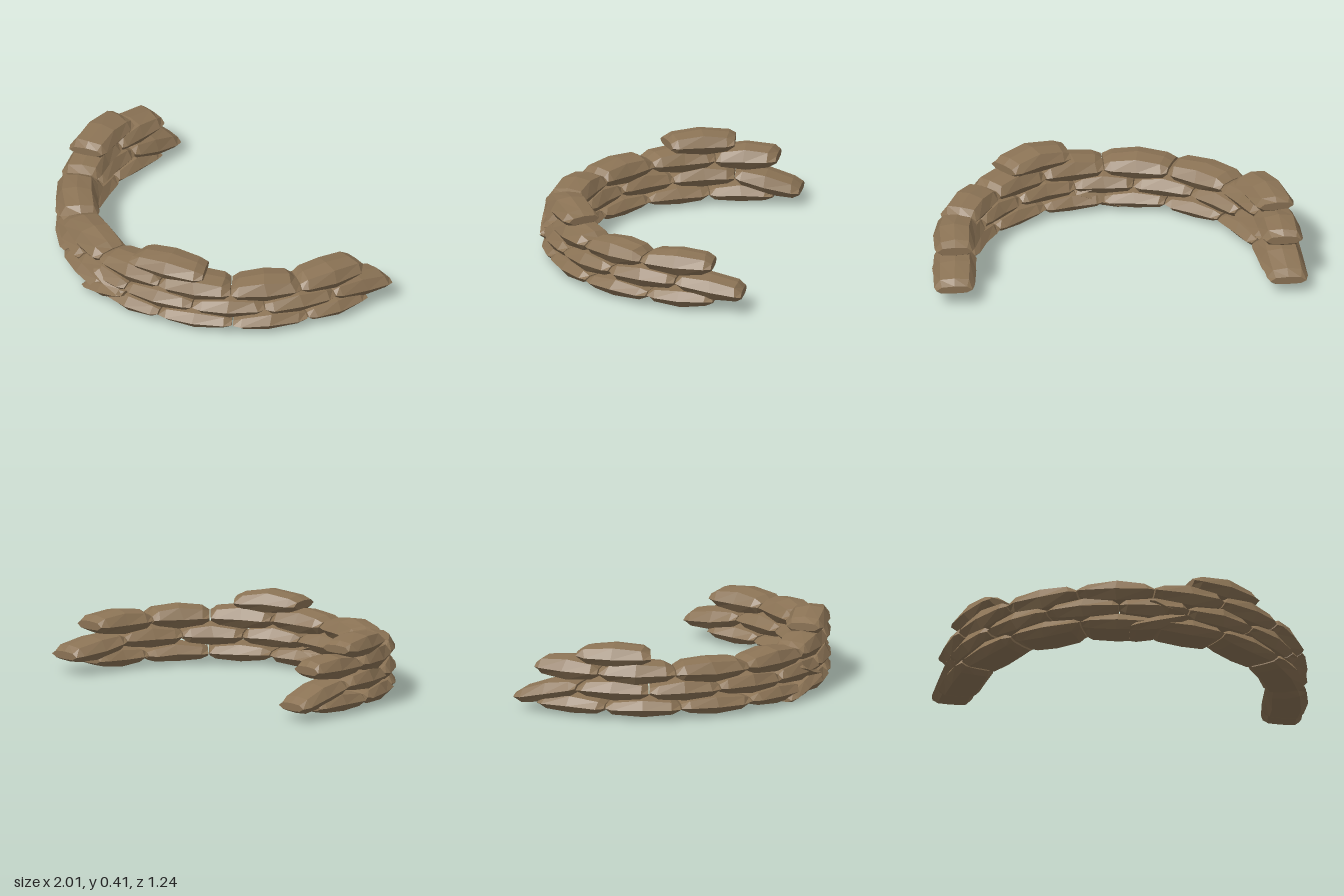
import * as THREE from 'three';

const R = 0.87, ZC = -0.37;            // wall centreline: half circle with straight tails

// Point on the wall: angle from the front, outward offset, height
function wallPoint(phi, out, y) {
  const s = Math.sign(phi), a = Math.min(Math.abs(phi), Math.PI / 2);
  const over = (Math.abs(phi) - a) * R;
  const x = s * ((R + out) * Math.sin(a) + 0.1 * over);
  const z = ZC + (R + out) * Math.cos(a) - over;
  return [x, y, z];
}

// Small seeded generator for the lumpy look
let seed = 7;
const jitter = (amount) => {
  seed = (seed * 16807) % 2147483647;
  return (seed / 2147483647 - 0.5) * 2 * amount;
};

// Bag cross-section (outward, up) and stations along it (position, width, height)
const SECTION = [[0.5, -0.03], [0.35, 0.4], [0, 0.5], [-0.35, 0.4],
  [-0.5, -0.03], [-0.34, -0.4], [0, -0.45], [0.34, -0.4]];
const STATIONS = [[-1, 0.86, 0.38], [-0.78, 0.98, 0.82], [0, 1.02, 1.12], [0.78, 0.98, 0.82], [1, 0.86, 0.38]];

// A filled bag bent along the wall from angle a to b, its ends at heights y0 and y1
function bagGeometry(a, b, y0, y1, width, height, out = 0) {
  const pos = [], idx = [], n = SECTION.length, last = STATIONS.length - 1;
  STATIONS.forEach(([t, w, h], k) => {
    const f = (t + 1) / 2;
    const end = k === 0 || k === last;
    const dw = end ? 0 : jitter(0.004), dy = jitter(0.004);
    for (const [u, v] of SECTION) {
      const phi = a + (b - a) * f + (end ? 0 : jitter(0.012));
      pos.push(...wallPoint(phi, out + u * width * w + dw, y0 + (y1 - y0) * f + v * height * h + dy));
    }
  });
  for (let k = 0; k < last; k++) {
    for (let i = 0; i < n; i++) {
      const j = (i + 1) % n, p = k * n, q = p + n;
      idx.push(p + i, q + i, q + j, p + i, q + j, p + j);
    }
  }
  // End caps
  for (let i = 1; i < n - 1; i++) {
    idx.push(0, i, i + 1);
    idx.push(last * n, last * n + i + 1, last * n + i);
  }
  const indexed = new THREE.BufferGeometry();
  indexed.setAttribute('position', new THREE.Float32BufferAttribute(pos, 3));
  indexed.setIndex(idx);
  const geo = indexed.toNonIndexed();
  geo.computeVertexNormals();
  return geo;
}

export function createModel() {
  const model = new THREE.Group();
  model.name = 'sandbagWall';
  const burlap = new THREE.MeshStandardMaterial({ color: 0x8b7355, flatShading: true });
  burlap.name = 'burlap';

  const addBag = (group, name, ...args) => {
    const mesh = new THREE.Mesh(bagGeometry(...args), burlap);
    mesh.name = name;
    group.add(mesh);
  };

  // Courses: joint angles, centre height, end drops (right, left)
  const courses = [
    { name: 'bottomCourse', joints: [-1.7, -1.28, -0.85, -0.42, 0, 0.42, 0.85, 1.28, 1.68], y: 0.068, h: 0.1, w: 0.225 },
    { name: 'middleCourse', joints: [-1.86, -1.45, -1.03, -0.62, -0.2, 0.2, 0.62, 1.03, 1.45, 1.86], y: 0.16, h: 0.115, w: 0.225, drop: [0.08, 0.05] },
    { name: 'upperCourse', joints: [-1.72, -1.32, -0.88, -0.44, 0, 0.42, 0.84, 1.24, 1.67], y: 0.257, h: 0.125, w: 0.22 },
  ];
  for (const c of courses) {
    const group = new THREE.Group();
    group.name = c.name;
    const n = c.joints.length - 1;
    const [dropFirst, dropLast] = c.drop || [0, 0];
    for (let i = 0; i < n; i++) {
      const y0 = c.y - (i === 0 ? dropFirst : 0);
      const y1 = c.y - (i === n - 1 ? dropLast : 0);
      addBag(group, 'sandbag', c.joints[i] + 0.004, c.joints[i + 1] - 0.004, y0, y1, c.w, c.h);
    }
    model.add(group);
  }

  // Two single bags on top
  const top = new THREE.Group();
  top.name = 'topCourse';
  addBag(top, 'topBagRight', -1.45, -1.02, 0.345, 0.345, 0.215, 0.118);
  addBag(top, 'topBagLeft', 0.23, 0.68, 0.345, 0.345, 0.215, 0.118);
  model.add(top);

  // Slumped bags at the front centre
  const slumped = new THREE.Group();
  slumped.name = 'slumpedBags';
  addBag(slumped, 'slumpedLowerBag', -0.14, 0.19, 0.026, 0.115, 0.22, 0.08, 0.018);
  addBag(slumped, 'slumpedUpperBag', -0.03, 0.19, 0.185, 0.11, 0.22, 0.05, 0.016);
  model.add(slumped);

  return model;
}
